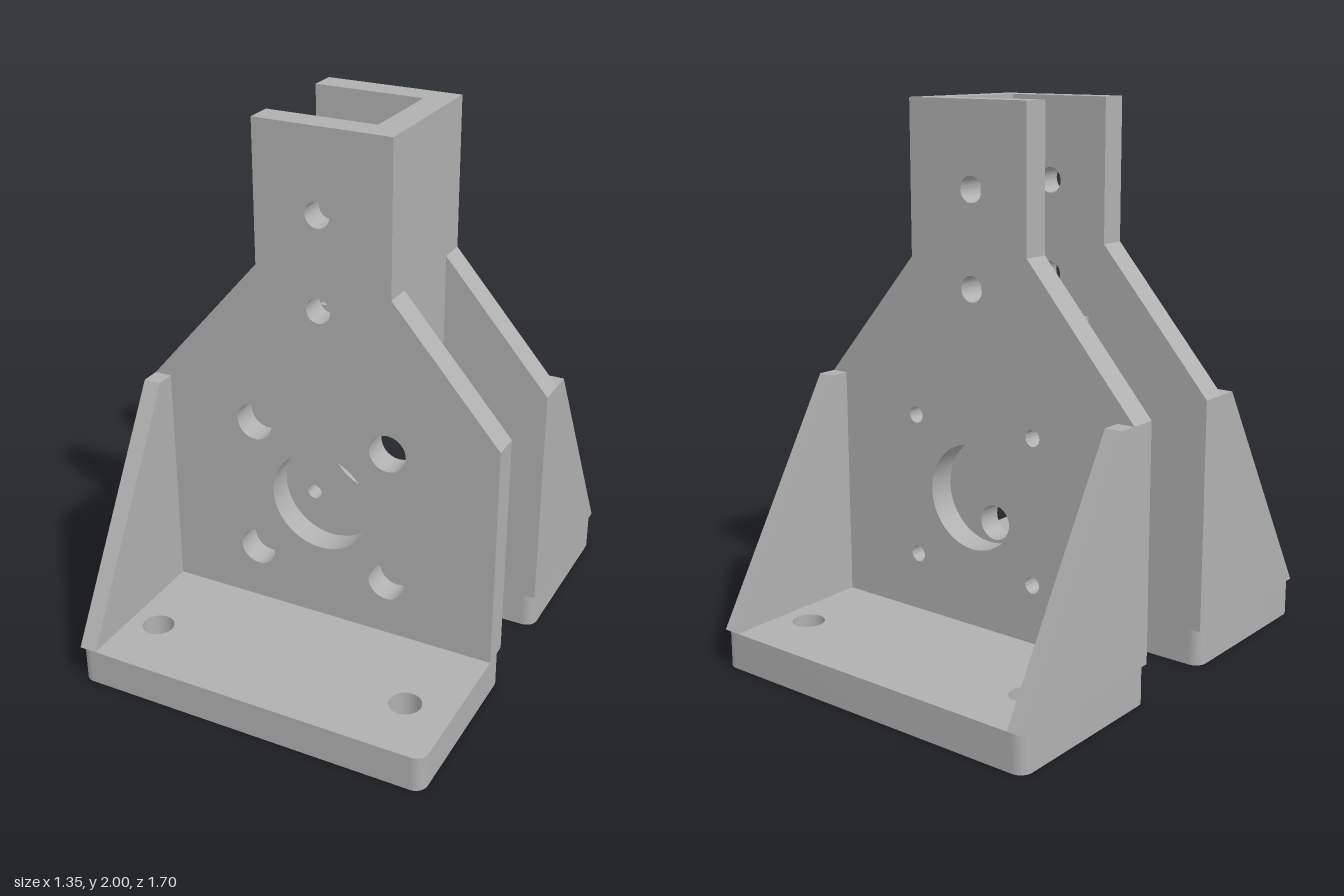
import * as THREE from 'three';
import { toCreasedNormals } from 'three/addons/utils/BufferGeometryUtils.js';

const IN = 0.173, OUT = 0.273; // inner and outer z of the upright plates
const HALF_W = 0.675, END = 0.85, BASE_H = 0.135, SHOULDER = 0.985;

// Closed polygon with round holes given as [x, y, radius]
function outline(points, holes = []) {
  const shape = new THREE.Shape(points.map(([x, y]) => new THREE.Vector2(x, y)));
  addHoles(shape, holes);
  return shape;
}

function addHoles(shape, holes) {
  for (const [x, y, r] of holes) {
    shape.holes.push(new THREE.Path().absarc(x, y, r, 0, Math.PI * 2, true));
  }
}

function extrude(shape, depth) {
  return new THREE.ExtrudeGeometry(shape, { depth, bevelEnabled: false, curveSegments: 32 });
}

function roundedRect(x0, x1, y0, y1, r) {
  const s = new THREE.Shape();
  s.absarc(x1 - r, y1 - r, r, 0, Math.PI / 2);
  s.absarc(x0 + r, y1 - r, r, Math.PI / 2, Math.PI);
  s.absarc(x0 + r, y0 + r, r, Math.PI, Math.PI * 1.5);
  s.absarc(x1 - r, y0 + r, r, Math.PI * 1.5, Math.PI * 2);
  s.closePath();
  return s;
}

export function createModel() {
  const model = new THREE.Group();
  model.name = 'mountingBracket';
  const grey = new THREE.MeshStandardMaterial({ color: 0xb0b0b0 });
  grey.name = 'grey';

  const add = (name, geometry) => {
    const mesh = new THREE.Mesh(toCreasedNormals(geometry, 0.5), grey);
    mesh.name = name;
    model.add(mesh);
  };
  const addBox = (name, x0, x1, y0, y1, z0, z1) => add(name,
    new THREE.BoxGeometry(x1 - x0, y1 - y0, z1 - z0)
      .translate((x0 + x1) / 2, (y0 + y1) / 2, (z0 + z1) / 2));

  for (const side of [1, -1]) {
    const end = side > 0 ? 'front' : 'back';

    // Upright plate: wide screw holes at the front, narrow ones at the back
    const screwR = side > 0 ? 0.07 : 0.03;
    const holes = [[0, 0.615, 0.192], [0, 1.36, 0.046], [0, 1.7, 0.046]];
    for (const x of [-0.263, 0.263]) {
      for (const y of [0.35, 0.877]) holes.push([x, y, screwR]);
    }
    const plate = outline([
      [-HALF_W, BASE_H], [HALF_W, BASE_H], [HALF_W, SHOULDER], [0.272, 1.45],
      [0.272, 2], [-0.238, 2], [-0.238, 1.487], [-HALF_W, SHOULDER],
    ], holes);
    add(end + 'Plate', extrude(plate, OUT - IN).translate(0, 0, side > 0 ? IN : -OUT));

    // Foot with rounded corners and two bolt holes
    const foot = roundedRect(-HALF_W, HALF_W, IN, END, 0.045);
    addHoles(foot, [[-0.5, 0.61, 0.058], [0.5, 0.61, 0.058]]);
    const footGeometry = extrude(foot, BASE_H);
    if (side > 0) footGeometry.rotateX(Math.PI / 2).translate(0, BASE_H, 0);
    else footGeometry.rotateX(-Math.PI / 2);
    add(end + 'Foot', footGeometry);

    // Triangular gussets: one at the front, two at the back
    const gusset = outline([
      [side * OUT, BASE_H], [side * END, BASE_H],
      [side * 0.345, SHOULDER], [side * OUT, SHOULDER],
    ]);
    const edges = side > 0 ? [-HALF_W + 0.065] : [-HALF_W + 0.065, HALF_W];
    for (const x of edges) {
      add(end + 'Gusset', extrude(gusset, 0.065).rotateY(-Math.PI / 2).translate(x, 0, 0));
    }

    // Small ledge inside the channel
    const [z0, z1] = side > 0 ? [0.07, IN] : [-IN, -0.07];
    addBox(end + 'Ledge', -0.175, 0.172, 1.12, 1.22, z0, z1);
  }

  // Web joining the two plates into a channel
  addBox('channelWeb', 0.172, 0.272, 1.12, 2, -IN, IN);

  return model;
}
